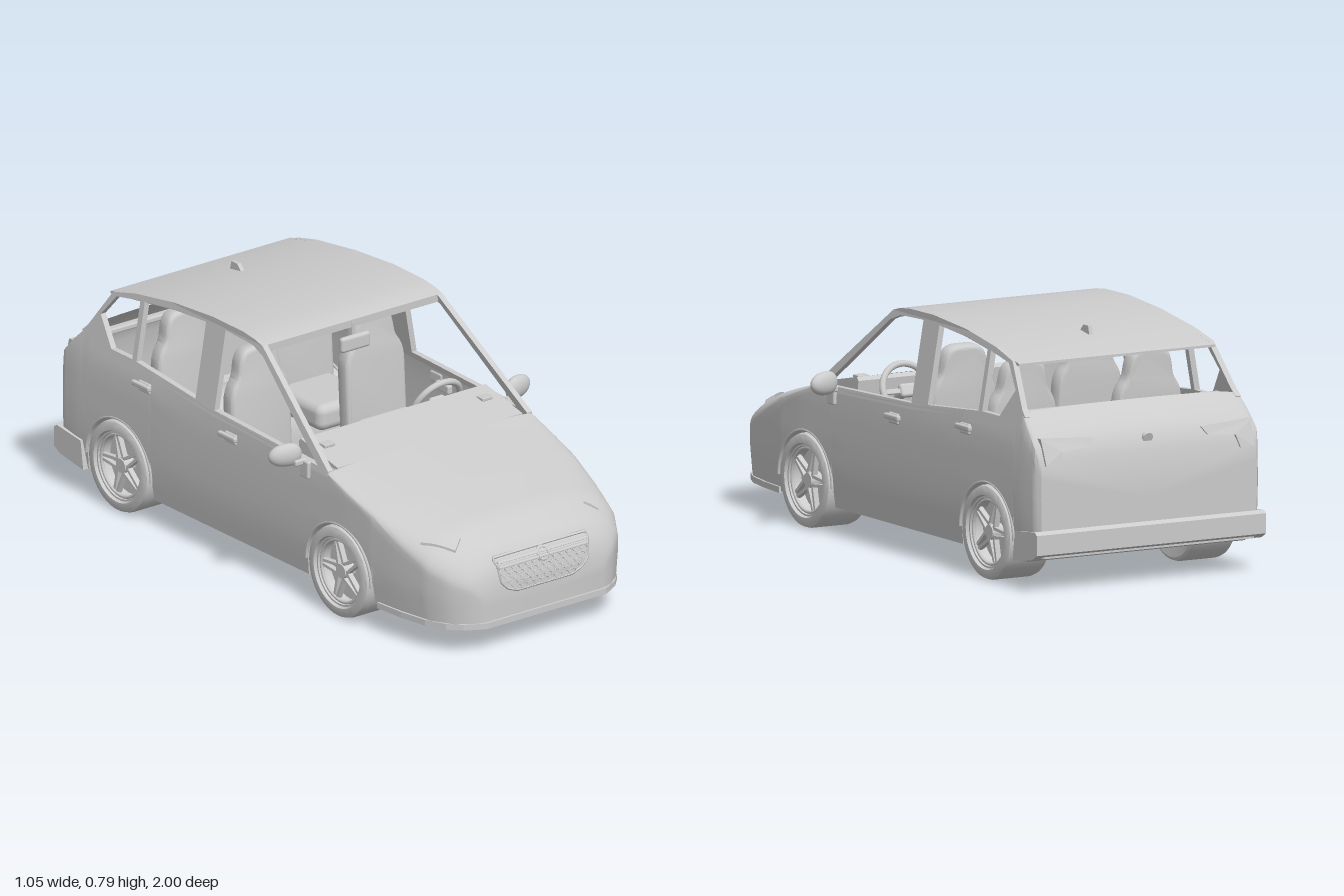
import * as THREE from 'three';
import { toCreasedNormals, mergeGeometries } from 'three/addons/utils/BufferGeometryUtils.js';
import { RoundedBoxGeometry } from 'three/addons/geometries/RoundedBoxGeometry.js';

const MAT = new THREE.MeshStandardMaterial({ color: 0xcccccc, side: THREE.DoubleSide });

// Piecewise-linear function through [input, output] pairs sorted by input
const curve = (p) => (v) => {
  let i = 1;
  while (i < p.length - 1 && v > p[i][0]) i++;
  const [a, b] = [p[i - 1], p[i]];
  return THREE.MathUtils.lerp(a[1], b[1], THREE.MathUtils.clamp((v - a[0]) / (b[0] - a[0]), 0, 1));
};

// Body proportions along z: half width, shoulder height, top height
const width = curve([[-0.985, 0.4], [-0.965, 0.415], [-0.9, 0.42], [0.5, 0.42], [0.62, 0.415], [0.75, 0.402],
  [0.87, 0.38], [0.94, 0.34], [0.98, 0.285], [0.992, 0.245]]);
const shoulder = curve([[-0.985, 0.4], [-0.965, 0.46], [-0.93, 0.5], [-0.87, 0.56], [-0.72, 0.53], [-0.6, 0.53],
  [-0.2, 0.495], [0.4, 0.47], [0.63, 0.39], [0.84, 0.285], [0.94, 0.235], [0.98, 0.21], [0.992, 0.17]]);
const top = curve([[-0.985, 0.43], [-0.965, 0.485], [-0.93, 0.53], [-0.87, 0.578], [0.4, 0.485], [0.63, 0.435],
  [0.84, 0.388], [0.94, 0.34], [0.98, 0.28], [0.992, 0.22]]);
const flank = curve([[0.09, 0.965], [0.2, 0.995], [0.3, 1], [0.42, 0.995], [0.48, 0.985], [0.56, 0.952]]);
const noseZ = curve([[0.09, 0.992], [0.22, 0.992], [0.28, 0.98], [0.34, 0.94]]);
const tailZ = curve([[0.4, -0.985], [0.43, -0.985], [0.485, -0.965], [0.53, -0.93]]);
const AXLES = [0.46, -0.675], ARCH = 0.165;
const bottom = (z) => {
  for (const c of AXLES) if (Math.abs(z - c) < ARCH + 0.001) return 0.15 + Math.sqrt(Math.max(0, ARCH ** 2 - (z - c) ** 2));
  return z < -0.9 ? 0.11 : 0.09;
};
const hoodY = (x, z) => {
  const u = Math.min(1, Math.abs(x) / (width(z) * flank(shoulder(z))));
  return shoulder(z) + (top(z) - shoulder(z)) * Math.sqrt(1 - u ** 3);
};

// Surface through rows of [x, y, z] points
function grid(rows, crease = 0.6) {
  const n = rows[0].length, index = [];
  for (let i = 0; i < rows.length - 1; i++) for (let j = 0; j < n - 1; j++) {
    const a = i * n + j, b = a + n;
    index.push(a, b, a + 1, b, b + 1, a + 1);
  }
  const g = new THREE.BufferGeometry();
  g.setAttribute('position', new THREE.Float32BufferAttribute(rows.flat(2), 3));
  g.setIndex(index);
  return toCreasedNormals(g, crease);
}
// Body cross-section: floor, flanks and, when closed, the rounded top
function section(z, closed) {
  const b = bottom(z), s = shoulder(z), w = width(z);
  const half = [[0, b, z], [w * 0.6, b, z]];
  for (let j = 0; j <= 9; j++) { const y = b + (s - b) * j / 9; half.push([w * flank(y), y, z]); }
  if (closed) for (let k = 1; k <= 14; k++) {
    const x = w * flank(s) * Math.max(0, Math.cos(k * Math.PI / 28)) ** (2 / 3);
    half.push([k === 14 ? 0 : x, k === 14 ? top(z) : hoodY(x, z), z]);
  }
  return [...half.slice(1).reverse().map(([x, y, q]) => [-x, y, q]), ...half];
}
const outline = (pts) => new THREE.Shape(pts.map((p) => new THREE.Vector2(...p)));
// Side profile (z, y) extruded across x, ending at x1
function acrossX(shape, depth, x1) {
  return new THREE.ExtrudeGeometry(shape, { depth, bevelEnabled: false }).rotateY(-Math.PI / 2).translate(x1, 0, 0);
}
function reshape(g, rule) {
  const p = g.attributes.position, v = new THREE.Vector3();
  for (let i = 0; i < p.count; i++) { rule(v.fromBufferAttribute(p, i)); p.setXYZ(i, v.x, v.y, v.z); }
  g.computeVertexNormals();
  return g;
}

export function createModel() {
  const car = new THREE.Group();
  car.name = 'car';
  const add = (name, g, x = 0, y = 0, z = 0, parent = car) => {
    const m = new THREE.Mesh(g, MAT);
    m.name = name; m.position.set(x, y, z); parent.add(m);
    return m;
  };
  const box = (w, h, d, r = 0.006) => new RoundedBoxGeometry(w, h, d, 3, r);

  // Lower body: nose with hood, open cabin tub, tail
  const stations = [0.992, 0.98, 0.965, 0.94, 0.91, 0.87, 0.84, 0.8, 0.75, 0.68, 0.4, 0.2, 0.1, 0, -0.1, -0.2, -0.3, -0.4,
    -0.87, -0.9, -0.93, -0.95, -0.965, -0.975, -0.985];
  for (const c of AXLES) {
    stations.push(c + ARCH + 0.004, c - ARCH - 0.004);
    for (let k = 0; k <= 16; k++) stations.push(c + ARCH * Math.cos(k * Math.PI / 16));
  }
  stations.sort((a, b) => b - a);
  const loft = (hi, lo, closed) => stations.filter((z) => z <= hi && z >= lo).map((z) => section(z, closed));
  const cap = (row, y, z) => row.map(() => [0, y, z]);
  const nose = loft(1, 0.4, true), tail = loft(-0.87, -1, true);
  add('noseAndHood', grid([cap(nose[0], 0.15, 0.992), ...nose]));
  add('cabinTub', grid(loft(0.4, -0.87, false)));
  add('tailgate', grid([...tail, cap(tail[0], 0.28, -0.985)]));

  // Roof slab and side window frames
  const roofLine = [[0.0, 0.77], [-0.04, 0.781], [-0.1, 0.788], [-0.25, 0.79], [-0.45, 0.775], [-0.65, 0.745], [-0.785, 0.71]];
  const under = roofLine.map(([z, y], i) => [z, y - (i === 6 ? 0.008 : 0.025)]).reverse();
  add('roof', toCreasedNormals(acrossX(outline([...roofLine, ...under]), 0.728, 0.364), 0.5));
  const frame = outline([[0.4, 0.478], ...roofLine.slice(0, 6), [-0.76, 0.717], [-0.86, 0.578], [-0.885, 0.555], [-0.86, 0.54],
    [-0.72, 0.515], [-0.6, 0.515], [-0.2, 0.48], [0.4, 0.46]]);
  frame.holes = [
    [[0.345, 0.482], [0.01, 0.738], [-0.05, 0.76], [-0.19, 0.765], [-0.19, 0.5]],
    [[-0.29, 0.508], [-0.29, 0.763], [-0.45, 0.753], [-0.6, 0.733], [-0.6, 0.535]],
    [[-0.622, 0.537], [-0.622, 0.73], [-0.74, 0.708], [-0.805, 0.63], [-0.73, 0.537]],
  ].map(outline);
  const frameGeo = reshape(acrossX(frame, 0.02, 0), (v) => { v.x += 0.415 - 0.17 * (v.y - 0.47); });

  // Wheel: tyre and rim barrel turned in one profile, five split spokes
  const tyre = [[0.104, -0.075], [0.14, -0.08], [0.149, -0.075], [0.153, -0.062], [0.153, 0.062], [0.149, 0.075], [0.14, 0.08],
    [0.12, 0.08], [0.116, 0.07], [0.11, 0.07], [0.104, 0.05], [0.104, -0.075]].map((p) => new THREE.Vector2(...p));
  const wheelParts = [
    ['tyre', toCreasedNormals(new THREE.LatheGeometry(tyre, 48), 0.6)],
    ['wheelBackPlate', new THREE.CylinderGeometry(0.104, 0.104, 0.01, 40).translate(0, 0.02, 0)],
    ['hub', new THREE.CylinderGeometry(0.024, 0.027, 0.04, 24).translate(0, 0.045, 0)],
    ['rimRing', new THREE.TorusGeometry(0.104, 0.006, 8, 48).rotateX(Math.PI / 2).translate(0, 0.06, 0)],
  ];
  for (let i = 0; i < 5; i++) for (const s of [-1, 1]) wheelParts.push(['spoke',
    new THREE.BoxGeometry(0.09, 0.018, 0.01).rotateY(s * 0.1).translate(0.06, 0.052, s * 0.011).rotateY(i * Math.PI * 0.4 + Math.PI / 2)]);

  // Headlight patch laid on the curved fender, its rim sunk into the body
  const lampRows = [];
  const [p0, p1, p2, p3] = [[0.25, 0.875], [0.335, 0.79], [0.36, 0.81], [0.29, 0.9]];
  for (let i = -1; i <= 9; i++) {
    const row = [], s = THREE.MathUtils.clamp(i / 8, 0, 1);
    for (let j = -1; j <= 7; j++) {
      const t = THREE.MathUtils.clamp(j / 6, 0, 1), L = THREE.MathUtils.lerp;
      const x = L(L(p0[0], p1[0], s), L(p3[0], p2[0], s), t), z = L(L(p0[1], p1[1], s), L(p3[1], p2[1], s), t);
      row.push([x, hoodY(x, z) + (i < 0 || i > 8 || j < 0 || j > 6 ? -0.008 : 0.008), z]);
    }
    lampRows.push(row);
  }
  const tailLamp = reshape(new THREE.ExtrudeGeometry(outline([[0.2, 0.485], [0.39, 0.495], [0.385, 0.41], [0.335, 0.41], [0.32, 0.452],
    [0.22, 0.46]]), { depth: 0.03, bevelEnabled: false }), (v) => { v.z += tailZ(v.y) - 0.008; });

  // Seat back: front outline with shoulders and headrest
  const seatShape = new THREE.Shape();
  seatShape.moveTo(-0.105, 0);
  seatShape.lineTo(-0.105, 0.24);
  seatShape.bezierCurveTo(-0.1, 0.3, -0.075, 0.29, -0.068, 0.34);
  seatShape.bezierCurveTo(-0.06, 0.4, -0.05, 0.4, 0, 0.4);
  seatShape.bezierCurveTo(0.05, 0.4, 0.06, 0.4, 0.068, 0.34);
  seatShape.bezierCurveTo(0.075, 0.29, 0.1, 0.3, 0.105, 0.24);
  seatShape.lineTo(0.105, 0);
  const seatBack = toCreasedNormals(new THREE.ExtrudeGeometry(seatShape, { depth: 0.03, bevelSize: 0.014, bevelThickness: 0.014,
    bevelSegments: 4, curveSegments: 10 }), 0.7);

  // Parts repeated on both sides
  for (const side of [1, -1]) {
    const half = new THREE.Group();
    half.name = side > 0 ? 'leftSide' : 'rightSide';
    half.scale.x = side;
    car.add(half);
    const put = (name, g, x, y, z) => add(name, g, x, y, z, half);
    put('windowFrame', frameGeo);
    put('headlight', grid(lampRows, 0.5));
    put('tailLight', tailLamp);
    for (const c of AXLES) {
      const wheel = new THREE.Group();
      wheel.name = 'wheel';
      wheel.position.set(0.345, 0.154, c);
      wheel.rotation.z = -Math.PI / 2;
      half.add(wheel);
      for (const [name, g] of wheelParts) add(name, g, 0, 0, 0, wheel);
      put('archLip', new THREE.TorusGeometry(ARCH + 0.002, 0.005, 6, 28, Math.PI).rotateY(Math.PI / 2), 0.417, 0.15, c);
    }
    for (const [y, z] of [[0.437, -0.095], [0.47, -0.54]]) {
      put('handlePlate', box(0.012, 0.036, 0.06), 0.417, y, z);
      put('doorHandle', box(0.016, 0.018, 0.09), 0.428, y + 0.006, z - 0.005);
      put('innerHandle', box(0.02, 0.03, 0.07), 0.398, y - 0.01, z + 0.06);
    }
    // Door mirror
    const shell = put('doorMirror', reshape(new THREE.SphereGeometry(1, 28, 18), (v) => {
      v.set(Math.sign(v.x) * Math.abs(v.x) ** 0.8 * 0.057, v.y * 0.038 * (1 - 0.12 * v.x), v.z * 0.024);
    }), 0.472, 0.503, 0.252);
    shell.rotation.y = 0.28;
    put('mirrorFoot', box(0.02, 0.06, 0.045), 0.417, 0.455, 0.29);
    put('mirrorStalk', box(0.05, 0.02, 0.025), 0.43, 0.478, 0.275);
    // Seats, front and rear
    for (const [z, y] of [[-0.2, 0.265], [-0.575, 0.27]]) {
      put('seatBack', seatBack, 0.232, y, z).rotation.x = -0.06;
      put('seatCushion', box(0.23, 0.09, 0.25, 0.03), 0.232, y + 0.02, z + 0.135);
      if (z > -0.5) put('seatBase', box(0.18, 0.15, 0.2), 0.232, 0.17, z + 0.13);
    }
    put('dashVent', box(0.042, 0.012, 0.034, 0.003), 0.32, 0.51, 0.275);
  }

  // Nose details: bumper lip and honeycomb grille
  const plan = [0.64, 0.75, 0.85, 0.92, 0.96, 0.985, 0.992].map((z) => [width(z) * 0.985, z === 0.992 ? 1 : z + 0.004]);
  const lip = outline([...plan, ...plan.map(([x, z]) => [-x, z]).reverse()]);
  add('frontLip', new THREE.ExtrudeGeometry(lip, { depth: 0.02, bevelEnabled: false }).rotateX(Math.PI / 2), 0, 0.105);
  const grilleW = curve([[0.185, 0.11], [0.2, 0.15], [0.225, 0.175], [0.305, 0.185]]);
  const onNose = (g) => reshape(g, (v) => { v.z += noseZ(v.y) - 0.001; });
  const levels = [0.185, 0.192, 0.2, 0.212, 0.225, 0.25, 0.28, 0.305];
  const rim = levels.map((y) => new THREE.Vector3(grilleW(y), y, 0));
  const loop = [...rim, ...rim.map((p) => new THREE.Vector3(-p.x, p.y, 0)).reverse()];
  add('grillePlate', onNose(grid(levels.map((y) => [-1, -0.5, 0, 0.5, 1].map((s) => [s * grilleW(y), y, 0.001])))));
  add('grilleFrame', onNose(new THREE.TubeGeometry(new THREE.CatmullRomCurve3(loop, true, 'catmullrom', 0.1), 96, 0.004, 6, true)));
  const cells = [];
  for (let r = 0; r < 5; r++) for (let c = -7; c <= 7; c++) {
    const x = (c + (r % 2) / 2) * 0.0275, y = 0.196 + r * 0.0155;
    if (Math.abs(x) + 0.012 < grilleW(y)) cells.push(new THREE.TorusGeometry(0.0145, 0.0022, 4, 6).scale(1, 0.72, 1).translate(x, y, 0.003));
  }
  add('grilleMesh', onNose(mergeGeometries(cells)));
  for (const y of [0.274, 0.29]) add('grilleBar', onNose(box(0.36, 0.008, 0.012, 0.003).translate(0, y, 0.003)));
  add('frontBadge', onNose(new THREE.TorusGeometry(0.02, 0.004, 8, 28).translate(0, 0.282, 0.006)));

  // Tail details
  add('rearBumper', acrossX(outline([[-0.848, 0.088], [-0.862, 0.185], [-0.985, 0.2], [-1, 0.19], [-1, 0.125], [-0.97, 0.108]]), 0.85, 0.425));
  add('rearBadge', new THREE.CylinderGeometry(0.018, 0.018, 0.014, 24).rotateX(Math.PI / 2 - 0.35), 0, 0.47, -0.972);
  add('parcelShelfBar', box(0.72, 0.02, 0.03), 0, 0.555, -0.82);
  add('antenna', acrossX(outline([[-0.56, 0.75], [-0.585, 0.777], [-0.615, 0.777], [-0.625, 0.74]]), 0.014, 0.007));

  // Dashboard, console, steering wheel and cabin mirror
  add('dashboard', acrossX(outline([[0.4, 0.475], [0.4, 0.482], [0.21, 0.522], [0.2, 0.51], [0.22, 0.36], [0.25, 0.34], [0.25, 0.47]]), 0.75, 0.375));
  add('dashScreen', box(0.19, 0.05, 0.05), -0.01, 0.48, 0.19);
  add('centreConsole', box(0.11, 0.2, 0.42, 0.015), 0, 0.2, 0.03);
  add('gearLever', new THREE.CylinderGeometry(0.012, 0.008, 0.09, 14), 0, 0.33, 0.08);
  const steering = new THREE.Group();
  steering.name = 'steeringWheel';
  steering.position.set(0.225, 0.475, 0.145);
  steering.rotation.x = 0.45;
  car.add(steering);
  add('steeringRim', new THREE.TorusGeometry(0.09, 0.011, 10, 40), 0, 0, 0, steering);
  add('steeringHub', box(0.06, 0.045, 0.025, 0.01), 0, 0, 0, steering);
  add('steeringSpokes', box(0.17, 0.018, 0.01, 0.004), 0, 0, 0, steering);
  add('steeringColumn', new THREE.CylinderGeometry(0.015, 0.015, 0.12, 14).rotateX(Math.PI / 2), 0, 0, 0.06, steering);
  add('cabinMirror', box(0.118, 0.052, 0.022, 0.0105), 0, 0.698, 0.012);
  add('cabinMirrorStalk', new THREE.CylinderGeometry(0.005, 0.005, 0.05, 10), 0, 0.738, 0.0);
  return car;
}
